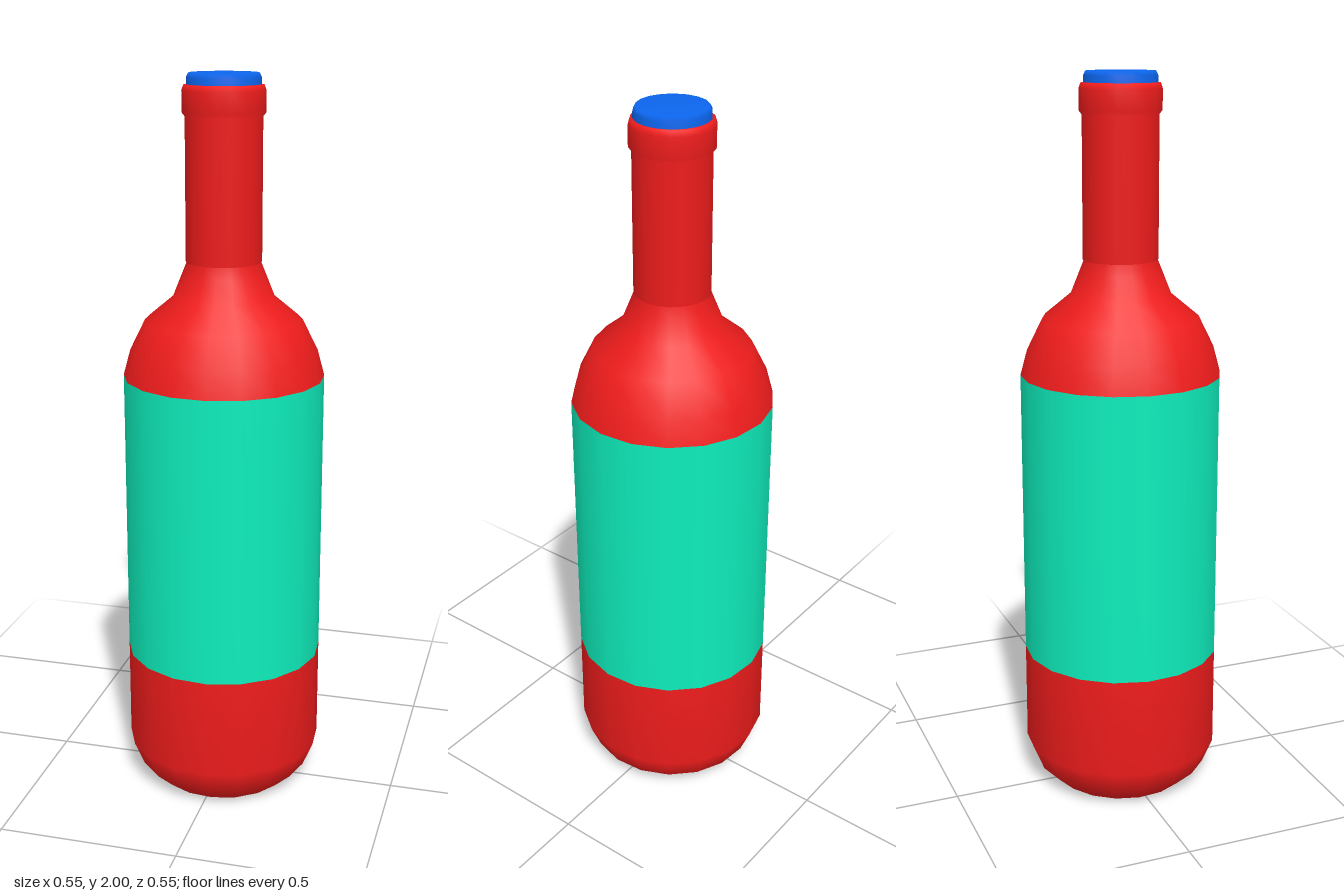
import * as THREE from 'three';

const SIDES = 18;
const PHASE = THREE.MathUtils.degToRad(4.5);
const RED = 0xf01c1c, TEAL = 0x0eeebc, BLUE = 0x0c66ee;

// Turned part from a profile of [radius, height] pairs, bottom to top
function turned(name, color, profile) {
  const points = profile.map(([r, y]) => new THREE.Vector2(r, y));
  const mesh = new THREE.Mesh(
    new THREE.LatheGeometry(points, SIDES, PHASE, Math.PI * 2),
    new THREE.MeshStandardMaterial({ color })
  );
  mesh.name = name;
  return mesh;
}

export function createModel() {
  const bottle = new THREE.Group();
  bottle.name = 'bottle';
  const R = 0.274;

  bottle.add(
    // Hollow punt, rounded foot and lower wall
    turned('lowerBody', RED, [
      [0, 0.1], [0.09, 0.085], [0.15, 0.04], [0.175, 0.008], [0.195, 0.003],
      [0.245, 0.05], [R, 0.12], [R, 0.4],
    ]),
    // Label band, flush with the wall
    turned('label', TEAL, [[R, 0.4], [R, 1.2]]),
    // Shoulder, running up under the foil
    turned('shoulder', RED, [
      [R, 1.2], [0.255, 1.27], [0.213, 1.355], [0.137, 1.418], [0.112, 1.48], [0.098, 1.515], [0.095, 1.55],
    ]),
    // Foil sleeve around the neck with the thicker lip on top
    turned('neckFoil', RED, [
      [0.095, 1.51], [0.102, 1.512], [0.102, 1.89], [0.11, 1.9],
      [0.11, 1.955], [0.105, 1.97], [0.09, 1.972],
    ]),
    // Cork with a softened top edge
    turned('cork', BLUE, [[0.098, 1.94], [0.098, 1.988], [0.092, 2], [0, 2]])
  );
  return bottle;
}
